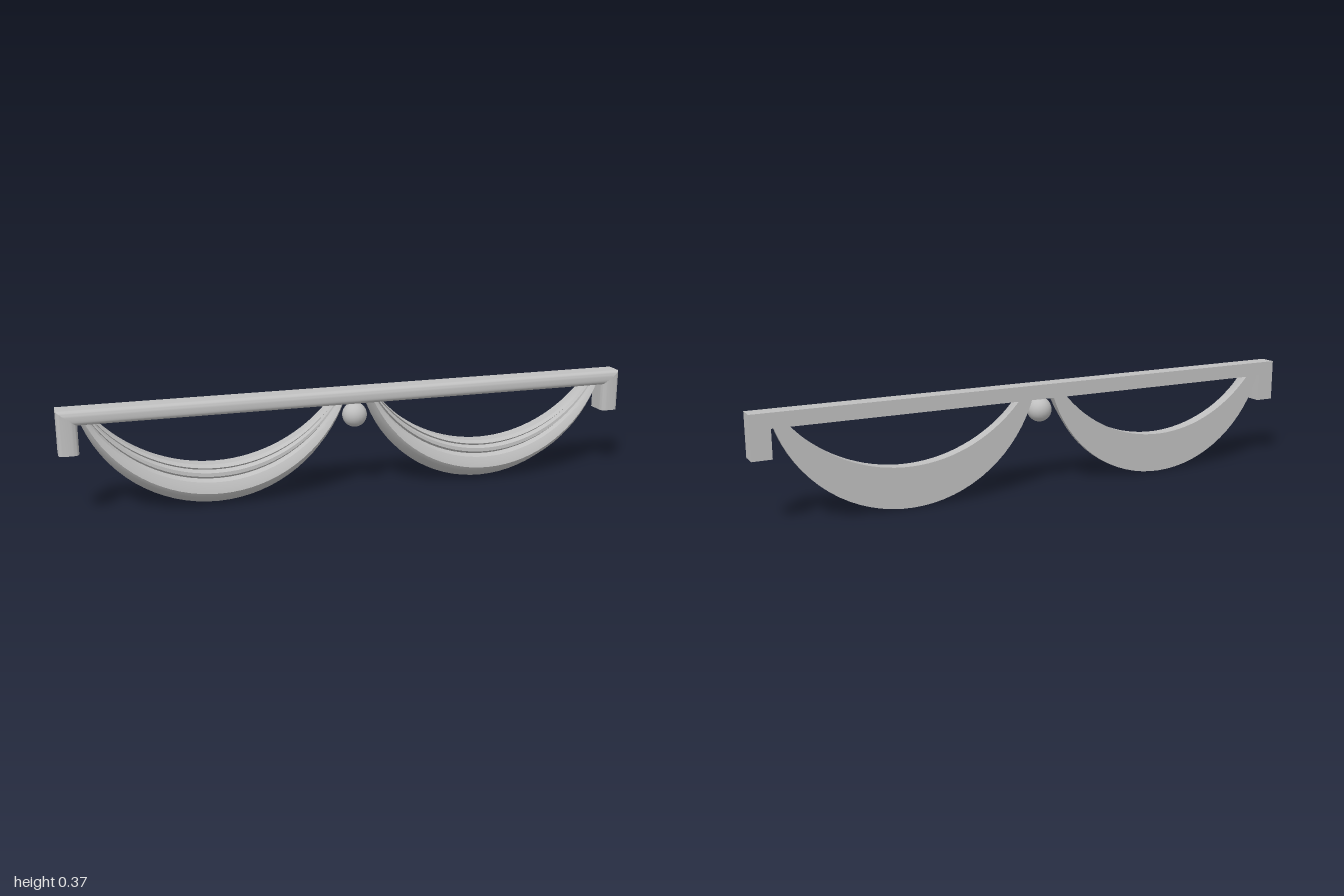
import * as THREE from 'three';
import { toCreasedNormals } from 'three/addons/utils/BufferGeometryUtils.js';

const TOP = 0.368, BACK = -0.038, FRONT = 0.038;
const RAIL_H = 0.05, POST_W = 0.066, POST_BOTTOM = 0.222;

// Upright bar, flat at the back, with both front edges rounded.
function barGeometry(width, length) {
  const h = width / 2, r = 0.02;
  const s = new THREE.Shape();
  s.moveTo(-h, -FRONT + r);
  s.quadraticCurveTo(-h, -FRONT, -h + r, -FRONT);
  s.lineTo(h - r, -FRONT);
  s.quadraticCurveTo(h, -FRONT, h, -FRONT + r);
  s.lineTo(h, -BACK);
  s.lineTo(-h, -BACK);
  s.closePath();
  const g = new THREE.ExtrudeGeometry(s, { depth: length, bevelEnabled: false, curveSegments: 6 });
  return g.rotateX(-Math.PI / 2);
}

// Move vertices by a rule, then restore smooth normals with sharp edges.
function reshape(g, rule) {
  const p = g.attributes.position, v = new THREE.Vector3();
  for (let i = 0; i < p.count; i++) {
    v.fromBufferAttribute(p, i);
    rule(v);
    p.setXYZ(i, v.x, v.y, v.z);
  }
  return toCreasedNormals(g, 0.6);
}

// Point at u (-1..1) on a hanging circular arc.
function arcPoint(u, half, bottom, top) {
  const sag = top - bottom, r = (half * half + sag * sag) / (2 * sag);
  const a = Math.asin(Math.min(1, half / r)) * u;
  return [r * Math.sin(a), bottom + r * (1 - Math.cos(a))];
}

// Folded cloth section: [share of height from lower to upper edge, z].
const FOLDS = [
  [0, BACK], [0, -0.02], [0.22, 0.032], [0.34, 0.043], [0.46, 0.039], [0.6, 0.03],
  [0.67, 0.015], [0.74, 0.029], [0.83, 0.028], [0.88, 0.01], [0.93, 0.018], [1, 0.006], [1, BACK],
];

function swagGeometry() {
  const steps = 32, n = FOLDS.length, pos = [], idx = [];
  for (let i = 0; i <= steps; i++) {
    const u = (i / steps) * 2 - 1;
    const lo = arcPoint(u, 0.447, 0.002, 0.335);
    const hi = arcPoint(u, 0.405, 0.142, 0.335);
    const depth = 1 - 0.22 * u * u;
    for (const [s, z] of FOLDS) {
      pos.push(lo[0] + (hi[0] - lo[0]) * s, lo[1] + (hi[1] - lo[1]) * s, BACK + (z - BACK) * depth);
    }
  }
  for (let i = 0; i < steps; i++) {
    for (let j = 0; j < n; j++) {
      const k = (j + 1) % n;
      const a = i * n + j, b = a + n, c = i * n + k, d = c + n;
      idx.push(a, b, c, b, d, c);
    }
  }
  const g = new THREE.BufferGeometry();
  g.setAttribute('position', new THREE.Float32BufferAttribute(pos, 3));
  g.setIndex(idx);
  return toCreasedNormals(g, 0.5);
}

export function createModel() {
  const group = new THREE.Group();
  const plaster = new THREE.MeshStandardMaterial({ color: 0xbfbfbf });
  plaster.name = 'plaster grey';
  const add = (name, geometry, x = 0, y = 0, z = 0) => {
    const m = new THREE.Mesh(geometry, plaster);
    m.name = name;
    m.position.set(x, y, z);
    group.add(m);
  };

  // Top rail with mitred ends
  const rail = barGeometry(RAIL_H, 2).rotateZ(Math.PI / 2).translate(1, TOP - RAIL_H / 2, 0);
  add('topRail', reshape(rail, v => {
    v.x = Math.sign(v.x) * (1 - (TOP - v.y) * POST_W / RAIL_H);
  }));

  for (const side of [-1, 1]) {
    const label = side > 0 ? 'left' : 'right';
    // Short end post, mitred into the rail
    const post = barGeometry(POST_W, TOP - POST_BOTTOM).translate(side * (1 - POST_W / 2), POST_BOTTOM, 0);
    add(label + 'EndPost', reshape(post, v => {
      if (v.y > 0.3) v.y = TOP - (1 - Math.abs(v.x)) * RAIL_H / POST_W;
    }));
    // Hanging draped swag
    add(label + 'Swag', swagGeometry(), side * 0.484);
  }

  // Ball between the swags
  add('centreBall', new THREE.SphereGeometry(0.043, 20, 14), -0.006, 0.275, 0.001);
  return group;
}
